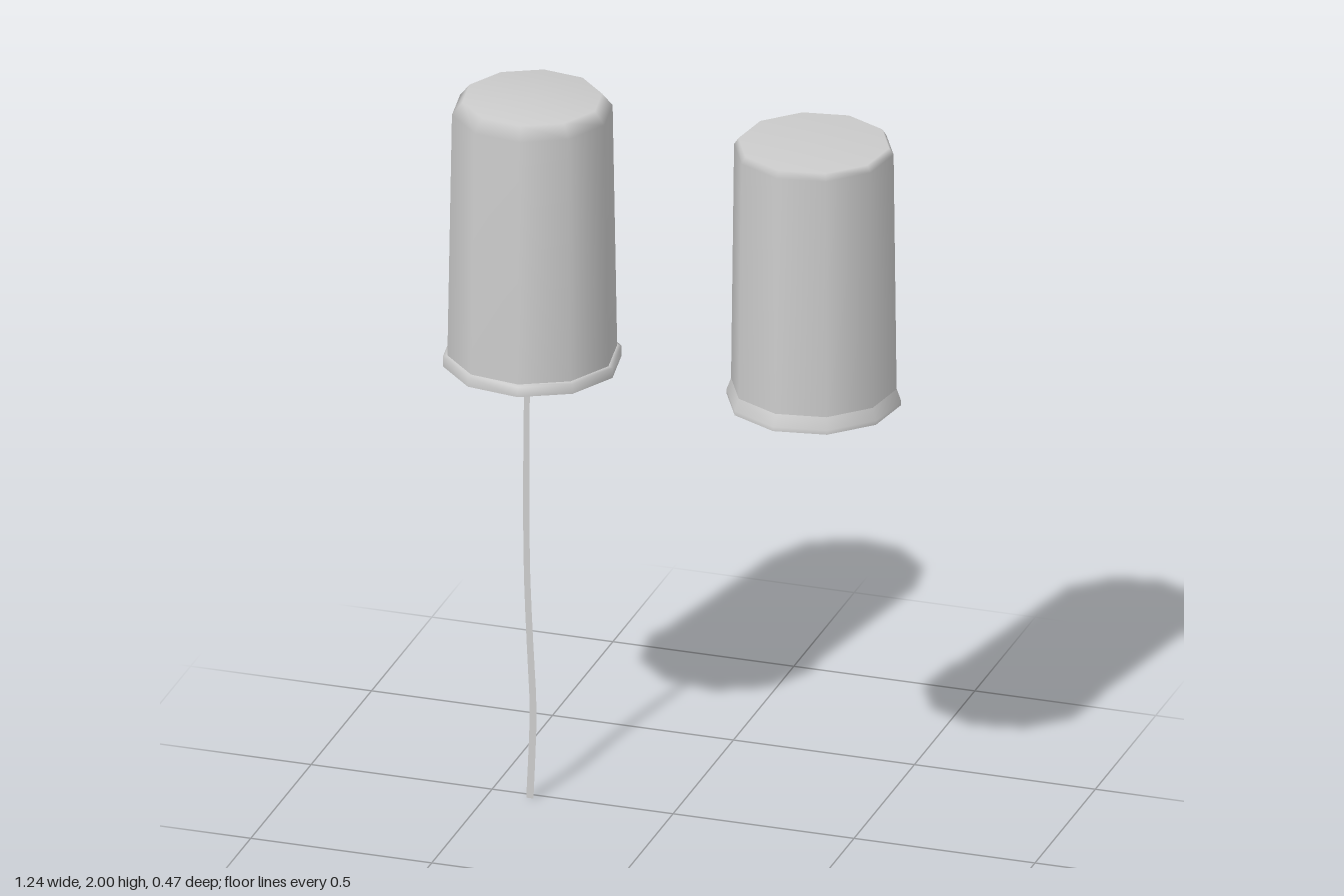
import * as THREE from 'three';

const SIDES = 10;
const material = new THREE.MeshStandardMaterial({ color: 0xcccccc, side: THREE.DoubleSide });

// Revolve a [radius, y] profile listed from the underside outward and up
function lathe(name, profile, sides, phase) {
  const points = profile.map(([r, y]) => new THREE.Vector2(r, y));
  const mesh = new THREE.Mesh(new THREE.LatheGeometry(points, sides, phase, Math.PI * 2), material);
  mesh.name = name;
  return mesh;
}

// Upside-down cup: body, rim, recessed base and small hexagonal ring
function makeCup(name, x, phaseDegrees, rim, body) {
  const phase = THREE.MathUtils.degToRad(phaseDegrees);
  const inner = rim[0][0] - 0.012;
  const cup = new THREE.Group();
  cup.name = name;
  cup.add(
    lathe('body', body, SIDES, phase),
    lathe('rim', rim, SIDES, phase),
    lathe('rimUnderside', [[inner, 1.245], rim[0]], SIDES, phase),
    lathe('rimInside', [[inner, 1.258], [inner, 1.245]], SIDES, phase),
    lathe('base', [[0, 1.258], [inner, 1.258]], SIDES, phase),
    lathe('baseRing', [[0.022, 1.258], [0.027, 1.247], [0.04, 1.247], [0.044, 1.258]], 6, phase)
  );
  cup.position.x = x;
  return cup;
}

// Flat hanging string, swept along a gently bent centre line
function makeString() {
  const path = new THREE.CatmullRomCurve3([
    [-0.395, 1.258], [-0.398, 0.95], [-0.396, 0.65], [-0.387, 0.43], [-0.379, 0.25], [-0.388, 0]
  ].map(([x, y]) => new THREE.Vector3(x, y, 0)));
  const steps = 12;
  const geometry = new THREE.PlaneGeometry(1, 1, 1, steps);
  const pos = geometry.attributes.position;
  for (let i = 0; i <= steps; i++) {
    const p = path.getPoint(i / steps);
    const half = 0.008 + 0.002 * (i / steps);
    pos.setXYZ(2 * i, p.x - half, p.y, 0.023);
    pos.setXYZ(2 * i + 1, p.x + half, p.y, 0.023);
  }
  geometry.computeVertexNormals();
  const mesh = new THREE.Mesh(geometry, material);
  mesh.name = 'string';
  return mesh;
}

export function createModel() {
  const model = new THREE.Group();
  model.name = 'cupsWithString';

  // Taller cup with a stepped rim and a wide bevel on top
  model.add(makeCup('rightCup', -0.389, 9,
    [[0.237, 1.245], [0.237, 1.273], [0.225, 1.276]],
    [[0.225, 1.276], [0.213, 1.965], [0.185, 2], [0, 2]]));

  // Shorter cup with a flared rim and a narrow bevel on top
  model.add(makeCup('leftCup', 0.389, 27,
    [[0.232, 1.245], [0.232, 1.257], [0.22, 1.29]],
    [[0.22, 1.29], [0.212, 1.962], [0.2, 1.98], [0, 1.98]]));

  model.add(makeString());
  return model;
}
